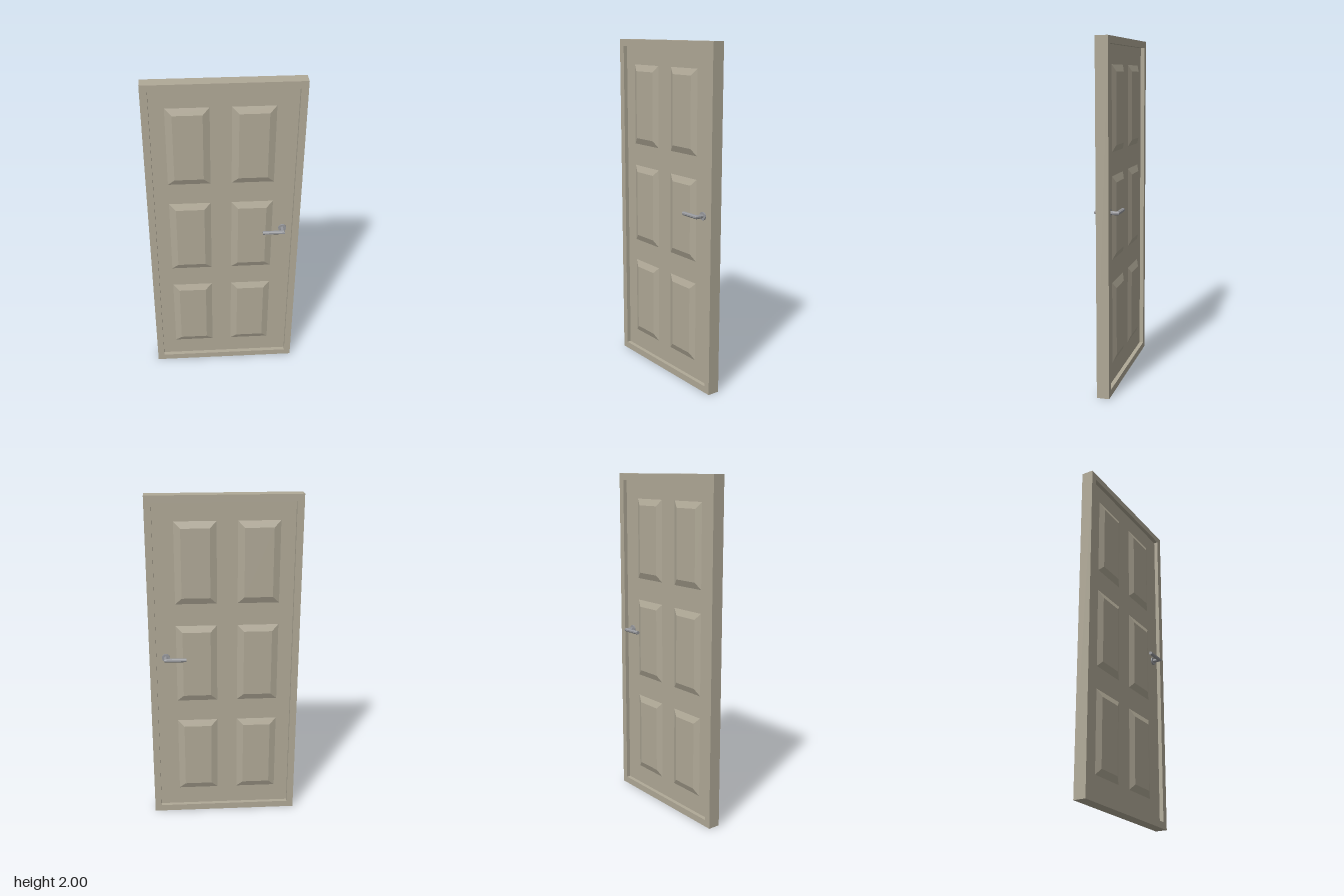
import * as THREE from 'three';

const FACE_Z = 0.012;    // surface of the recessed door leaf
const FRAME_Z = 0.036;   // half depth of the frame
const HANDLE = { x: 0.344, y: 1.047, z: 0.061, r: 0.0112, tip: 0.225 };

// Move every vertex of a geometry by a rule
function reshape(geometry, rule) {
  const p = geometry.attributes.position;
  const v = new THREE.Vector3();
  for (let i = 0; i < p.count; i++) {
    rule(v.fromBufferAttribute(p, i));
    p.setXYZ(i, v.x, v.y, v.z);
  }
  geometry.computeVertexNormals();
  return geometry;
}

function addMesh(parent, name, geometry, material) {
  const mesh = new THREE.Mesh(geometry, material);
  mesh.name = name;
  parent.add(mesh);
  return mesh;
}

function rectangle(path, x0, y0, x1, y1) {
  path.moveTo(x0, y0);
  path.lineTo(x1, y0);
  path.lineTo(x1, y1);
  path.lineTo(x0, y1);
  path.closePath();
  return path;
}

// Raised panel whose outward side is narrowed to make four bevels
function panelGeometry(side) {
  const w = 0.24, h = 0.478, rise = 0.016, bevel = 0.038;
  return reshape(new THREE.BoxGeometry(w, h, rise), (v) => {
    if (v.z * side > 0) {
      v.x -= Math.sign(v.x) * bevel;
      v.y -= Math.sign(v.y) * bevel;
    }
  });
}

// Lever and post meet in a mitred corner, with a round plate behind
function makeHandle(metal) {
  const { x, z, r, tip } = HANDLE;
  const group = new THREE.Group();
  group.name = 'handle';

  const length = x - tip;
  const lever = new THREE.CylinderGeometry(r, r, length, 8);
  lever.rotateY(Math.PI / 8).rotateZ(-Math.PI / 2).translate(tip + length / 2, 0, z);
  reshape(lever, (v) => {
    if (v.x > x - 0.001) v.x = x + (v.z - z);
  });
  addMesh(group, 'lever', lever, metal);

  const reach = z - FACE_Z;
  const post = new THREE.CylinderGeometry(r, r, reach, 8);
  post.rotateY(Math.PI / 8).rotateX(Math.PI / 2).translate(x, 0, FACE_Z + reach / 2);
  reshape(post, (v) => {
    if (v.z > z - 0.001) v.z = z + (v.x - x);
  });
  addMesh(group, 'post', post, metal);

  const plate = new THREE.CylinderGeometry(0.024, 0.024, 0.008, 16);
  plate.rotateX(Math.PI / 2).translate(x, 0, FACE_Z + 0.004);
  addMesh(group, 'rosette', plate, metal);
  return group;
}

export function createModel() {
  const paint = new THREE.MeshStandardMaterial({ color: 0xb0a997 });
  paint.name = 'beige paint';
  const metal = new THREE.MeshStandardMaterial({ color: 0x97989c });
  metal.name = 'steel';
  metal.flatShading = true;

  const door = new THREE.Group();
  door.name = 'door';

  // Surrounding frame
  const outline = rectangle(new THREE.Shape(), -0.44, 0, 0.44, 2);
  outline.holes.push(rectangle(new THREE.Path(), -0.4, 0.04, 0.4, 1.96));
  const frame = new THREE.ExtrudeGeometry(outline, { depth: FRAME_Z * 2, bevelEnabled: false });
  frame.translate(0, 0, -FRAME_Z);
  addMesh(door, 'frame', frame, paint);

  // Recessed leaf
  addMesh(door, 'leaf', new THREE.BoxGeometry(0.8, 1.92, FACE_Z * 2), paint).position.y = 1;

  // Six raised panels and a handle on each face
  for (const side of [1, -1]) {
    const geometry = panelGeometry(side);
    for (const x of [-0.197, 0.162]) {
      for (const y of [0.392, 1.003, 1.614]) {
        addMesh(door, 'raisedPanel', geometry, paint).position.set(x, y, side * (FACE_Z + 0.008));
      }
    }
    const handle = makeHandle(metal);
    handle.position.y = HANDLE.y;
    if (side < 0) handle.rotation.x = Math.PI;
    door.add(handle);
  }
  return door;
}
